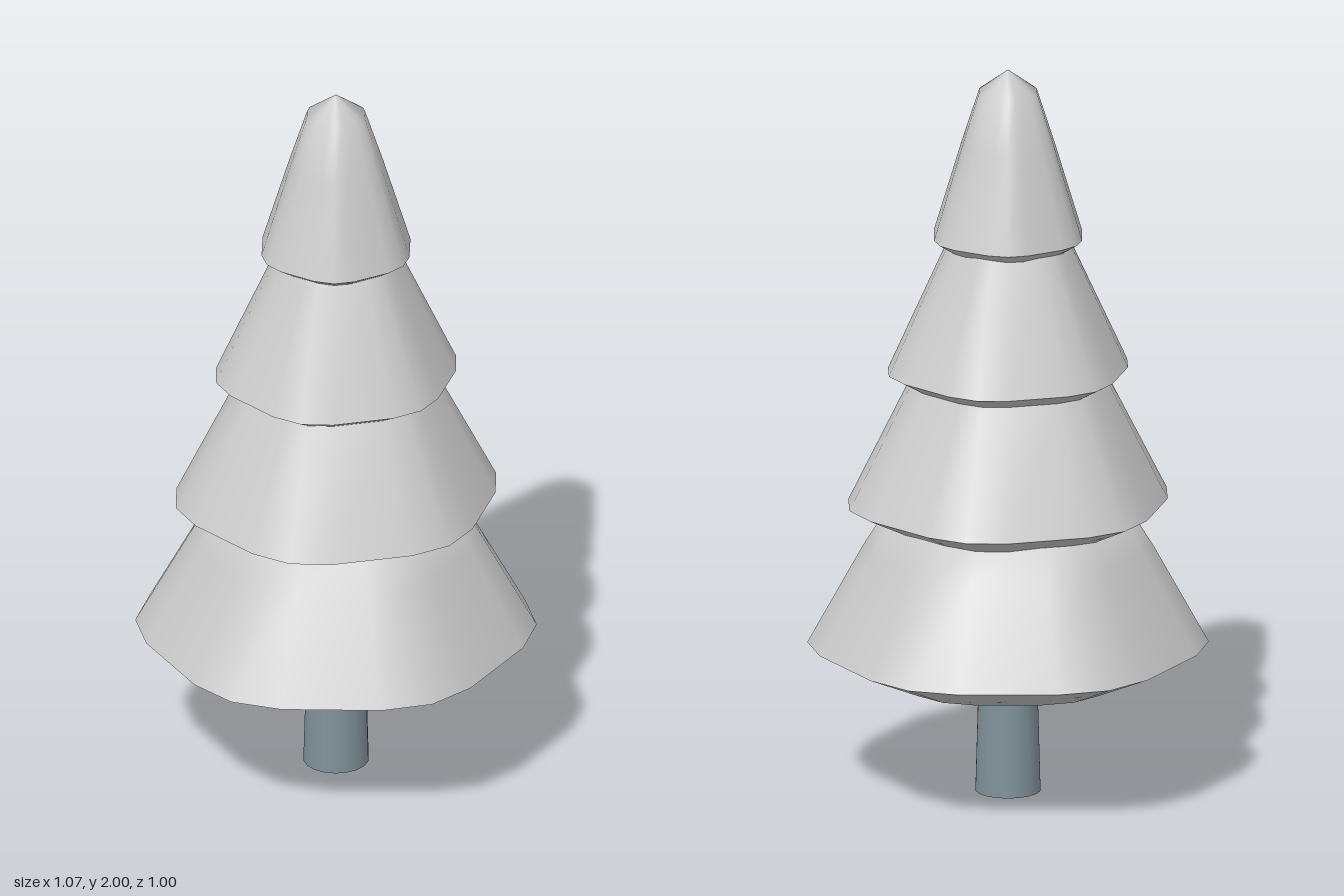
import * as THREE from 'three';

const CORNERS = 6;
const SIDES = CORNERS * 3;

// Angle and relative radius of point i on a hexagon with softened corners
// (three points per corner, 15 degrees apart).
function hexPoint(i, turn) {
  const corner = Math.floor(i / 3), step = (i % 3) - 1;
  const angle = THREE.MathUtils.degToRad(corner * 60 + step * 15 + turn);
  return { angle, scale: step === 0 ? 1 : 0.972 };
}

// Smooth skin through soft hexagon rings [radius, height], listed upwards.
function loft(rings, turn) {
  const pos = [], index = [];
  rings.forEach(([r, y]) => {
    for (let i = 0; i < SIDES; i++) {
      const { angle, scale } = hexPoint(i, turn);
      pos.push(Math.cos(angle) * r * scale, y, -Math.sin(angle) * r * scale);
    }
  });
  for (let j = 0; j < rings.length - 1; j++) {
    for (let i = 0; i < SIDES; i++) {
      const k = (i + 1) % SIDES;
      const a = j * SIDES + i, b = j * SIDES + k, c = b + SIDES, d = a + SIDES;
      if (rings[j][0] > 0) index.push(a, b, c);
      if (rings[j + 1][0] > 0 || rings[j][0] > 0) {
        if (rings[j + 1][0] > 0) index.push(a, c, d);
      }
    }
  }
  const geo = new THREE.BufferGeometry();
  geo.setAttribute('position', new THREE.Float32BufferAttribute(pos, 3));
  geo.setIndex(index);
  geo.computeVertexNormals();
  return geo;
}

// Each tier: turn in degrees, underside ring, then rim and rings up to the tip.
const TIERS = [
  { name: 'bottomTier', turn: 0, under: [0.35, 0.33],
    skirt: [[0.535, 0.41], [0.386, 0.68], [0.31, 0.8], [0, 0.9]] },
  { name: 'lowerMiddleTier', turn: 15, under: [0.29, 0.735],
    skirt: [[0.438, 0.807], [0.275, 1.13], [0.22, 1.2], [0, 1.28]] },
  { name: 'upperMiddleTier', turn: 15, under: [0.22, 1.11],
    skirt: [[0.329, 1.172], [0.178, 1.5], [0.14, 1.57], [0, 1.63]] },
  { name: 'topTier', turn: 30, under: [0.14, 1.495],
    skirt: [[0.21, 1.54], [0.132, 1.79], [0.082, 1.94], [0, 2]] },
];

export function createModel() {
  const model = new THREE.Group();
  model.name = 'coniferTree';
  const foliageMat = new THREE.MeshStandardMaterial({ color: 0xcccccc });
  const trunkMat = new THREE.MeshStandardMaterial({ color: 0x80929a });

  // Foliage tiers: a skirt above the sharp rim and a bevelled underside below it
  for (const { name, turn, under, skirt } of TIERS) {
    const tier = new THREE.Group();
    tier.name = name;
    const top = new THREE.Mesh(loft(skirt, turn), foliageMat);
    top.name = 'skirt';
    const underside = new THREE.Mesh(loft([[0, under[1]], under, skirt[0]], turn), foliageMat);
    underside.name = 'underside';
    tier.add(top, underside);
    model.add(tier);
  }

  // Slightly tapered trunk
  const trunk = new THREE.Mesh(new THREE.CylinderGeometry(0.078, 0.088, 0.36, 18), trunkMat);
  trunk.name = 'trunk';
  trunk.position.y = 0.18;
  model.add(trunk);

  return model;
}
